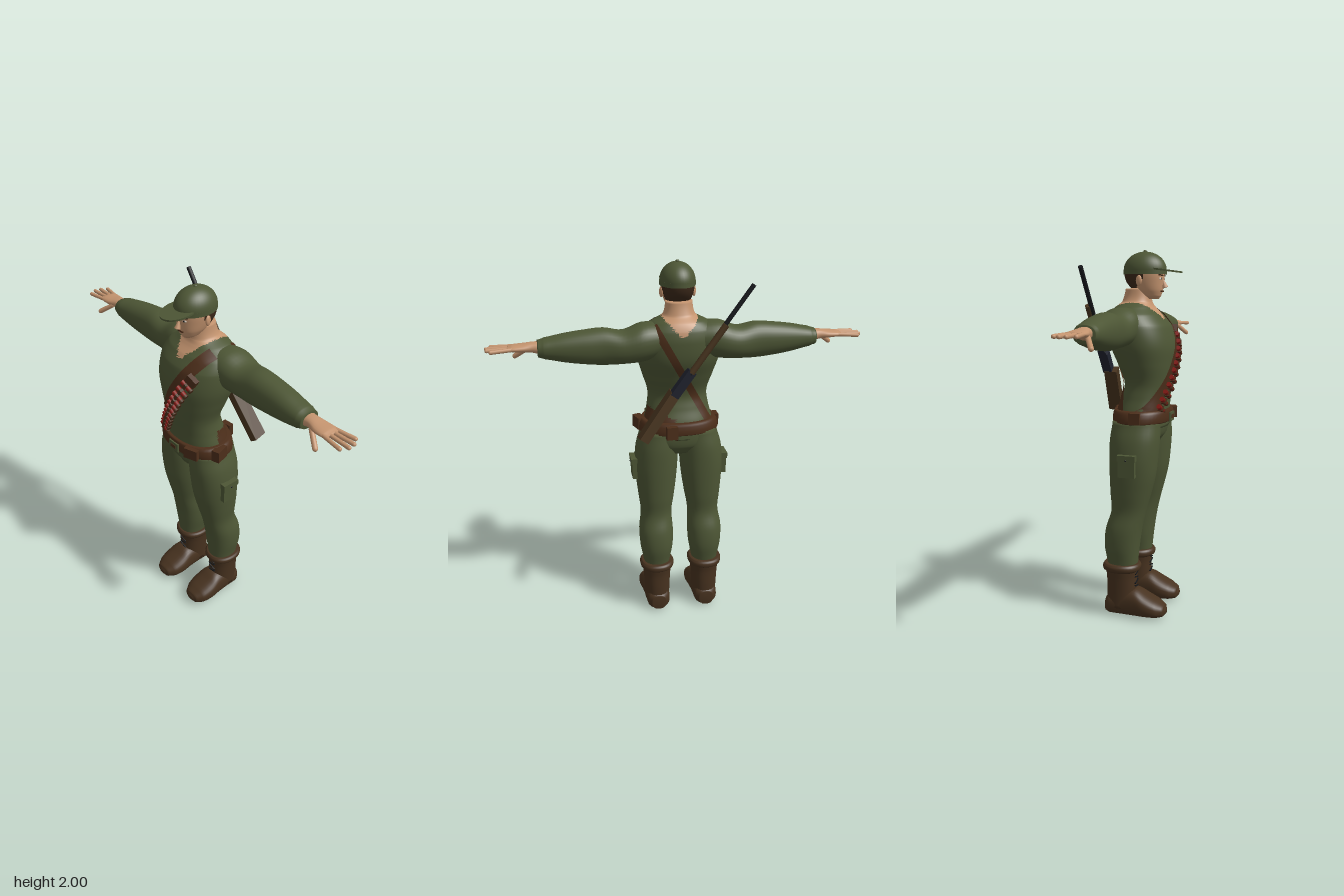
import * as THREE from 'three';

const mat = (name, color, side = THREE.FrontSide) => {
  const m = new THREE.MeshStandardMaterial({ color, side });
  m.name = name;
  return m;
};

// Catmull-Rom resampling of section rows [t, c1, c2, r1, r2]
function resample(rows, k) {
  const out = [];
  const at = i => rows[Math.min(Math.max(i, 0), rows.length - 1)];
  for (let i = 0; i < rows.length - 1; i++)
    for (let j = 0; j < k; j++) {
      const u = j / k, [a, b, c, d] = [at(i - 1), at(i), at(i + 1), at(i + 2)];
      out.push(b.map((v, q) => q === 0 ? v + (c[0] - v) * u : v + 0.5 * u * (c[q] - a[q] +
        u * (2 * a[q] - 5 * v + 4 * c[q] - d[q] + u * (3 * (v - c[q]) + d[q] - a[q])))));
    }
  out.push(rows[rows.length - 1]);
  return out;
}

// Closed skin through superellipse sections; pick() chooses a material per face
function loft(axis, rows, { k = 5, seg = 32, n = 2.2, pick = null } = {}) {
  const rs = resample(rows, k), pos = [], idx = [];
  const place = (t, p, q) => axis === 'y' ? [p, t, q] : axis === 'x' ? [t, p, q] : [p, q, t];
  const pw = v => Math.sign(v) * Math.abs(v) ** (2 / n);
  for (const [t, c1, c2, r1, r2] of rs)
    for (let i = 0; i < seg; i++) {
      const a = i / seg * Math.PI * 2;
      pos.push(...place(t, c1 + r1 * pw(Math.cos(a)), c2 + r2 * pw(Math.sin(a))));
    }
  const tri = (a, b, c) => idx.push(axis === 'y' ? [a, b, c] : [a, c, b]);
  for (let j = 0; j < rs.length - 1; j++)
    for (let i = 0; i < seg; i++) {
      const a = j * seg + i, b = j * seg + (i + 1) % seg;
      tri(a, a + seg, b);
      tri(b, a + seg, b + seg);
    }
  for (const j of [0, rs.length - 1]) {
    const c = pos.length / 3, [t, c1, c2] = rs[j];
    pos.push(...place(t, c1, c2));
    for (let i = 0; i < seg; i++) {
      const a = j * seg + i, b = j * seg + (i + 1) % seg;
      j === 0 ? tri(c, a, b) : tri(c, b, a);
    }
  }
  const g = new THREE.BufferGeometry();
  g.setAttribute('position', new THREE.Float32BufferAttribute(pos, 3));
  if (pick) {
    const bins = [[], [], []];
    for (const f of idx) bins[pick(...[0, 1, 2].map(q => f.reduce((s, v) => s + pos[v * 3 + q] / 3, 0)))].push(f);
    let start = 0;
    bins.forEach((b, i) => { g.addGroup(start, b.length * 3, i); start += b.length * 3; });
    g.setIndex(bins.flat(2));
  } else g.setIndex(idx.flat());
  g.computeVertexNormals();
  return g;
}

// Depth of a vertical loft's surface at (x, y); side +1 front, -1 back
function surfaceZ(rows, x, y, side = 1, n = 2.2) {
  const rs = resample(rows, 5);
  let i = rs.findIndex(r => r[0] > y);
  if (i < 1) i = i === 0 ? 1 : rs.length - 1;
  const u = Math.min(1, (y - rs[i - 1][0]) / (rs[i][0] - rs[i - 1][0]));
  const [, c, cz, w, d] = rs[i].map((v, q) => rs[i - 1][q] + (v - rs[i - 1][q]) * u);
  return cz + side * d * (1 - Math.min(1, Math.abs((x - c) / w)) ** n) ** (1 / n);
}

const TORSO = [[1.06, 0, .03, .2, .14], [1.15, 0, .038, .188, .137], [1.22, 0, .052, .17, .127],
  [1.3, 0, .065, .163, .125], [1.4, 0, .053, .192, .148], [1.5, 0, .035, .22, .17], [1.6, 0, .018, .222, .162],
  [1.66, 0, 0, .2, .135], [1.7, 0, -.01, .145, .105], [1.73, 0, 0, .085, .08], [1.8, 0, .005, .07, .066]];
const HEAD = [[1.745, 0, .085, .03, .035], [1.76, 0, .075, .05, .055], [1.79, 0, .06, .068, .08],
  [1.83, 0, .045, .08, .1], [1.87, 0, .04, .087, .108], [1.92, 0, .042, .086, .106], [1.96, 0, .045, .06, .08]];

export function createModel() {
  const green = mat('olive cloth', 0x4d5635), boot = mat('boot leather', 0x47321f);
  const leather = mat('belt leather', 0x4c2e1a, THREE.DoubleSide), skin = mat('skin', 0xc4946f);
  const red = mat('shell red', 0x861a14), black = mat('black steel', 0x17191c);
  const navy = mat('blued steel', 0x20232f), hair = mat('hair', 0x3b2819);
  const wood = mat('stock wood', 0x49351f), white = mat('eye white', 0xd8d0c4);
  const root = new THREE.Group();
  root.name = 'soldier';
  const add = (name, geo, m, parent = root, p = [0, 0, 0], r = [0, 0, 0], s = [1, 1, 1]) => {
    const o = new THREE.Mesh(geo, m);
    o.name = name;
    o.position.set(...p); o.rotation.set(...r); o.scale.set(...s);
    parent.add(o);
    return o;
  };
  const box = (x, y, z) => new THREE.BoxGeometry(x, y, z);
  const ball = new THREE.SphereGeometry(1, 20, 14);
  const finger = (name, a, b, r, parent) => {
    const A = new THREE.Vector3(...a), d = new THREE.Vector3(...b).sub(A);
    const o = add(name, new THREE.CapsuleGeometry(r, d.length(), 4, 10), skin, parent);
    o.position.copy(A).addScaledVector(d, .5);
    o.quaternion.setFromUnitVectors(new THREE.Vector3(0, 1, 0), d.normalize());
  };

  // Shirt with open neckline, and a worn leather patch over the left hip
  add('shirtAndNeck', loft('y', TORSO, { k: 8, seg: 64, pick: (x, y, z) =>
    y > 1.63 + Math.abs(x) ? 1 : x > .03 && z < .04 && y < 1.16 + x * .4 ? 2 : 0 }), [green, skin, leather]);
  add('pelvis', loft('y', [[.97, 0, .025, .1, .1], [1.02, 0, .025, .205, .13], [1.1, 0, .03, .212, .14], [1.14, 0, .035, .2, .137]]), green);

  // Head and face
  const head = new THREE.Group();
  head.name = 'head';
  root.add(head);
  add('face', loft('y', HEAD, { seg: 48, pick: (x, y, z) =>
    y > 1.8 && z < .02 || y > 1.845 && z < .06 ? 1 : 0 }), [skin, hair], head);
  add('nose', new THREE.ConeGeometry(.016, .055, 12), skin, head, [0, 1.83, .148], [-.3, 0, 0]);
  const fz = (x, y) => surfaceZ(HEAD, x, y);
  add('mouth', box(.042, .007, .008), leather, head, [0, 1.785, fz(0, 1.785)]);
  for (const s of [-1, 1]) {
    add('eye', ball, white, head, [s * .034, 1.85, fz(.034, 1.85) - .001], [0, s * .25, 0], [.013, .006, .004]);
    add('iris', ball, black, head, [s * .034, 1.85, fz(.034, 1.85) + .001], [0, s * .25, 0], [.005, .005, .004]);
    add('eyebrow', box(.036, .007, .008), hair, head, [s * .036, 1.868, fz(.036, 1.868)], [0, s * .3, s * .1]);
    add('ear', ball, skin, head, [s * .086, 1.84, .035], [0, s * .3, 0], [.01, .028, .018]);
  }

  // Cap
  const dome = new THREE.SphereGeometry(1, 36, 14, 0, Math.PI * 2, 0, Math.PI / 2);
  add('capDome', dome, green, head, [0, 1.895, .043], [0, 0, 0], [.093, .097, .117]);
  add('capBand', new THREE.CylinderGeometry(1, 1, .025, 36), green, head, [0, 1.886, .043], [0, 0, 0], [.094, 1, .118]);
  add('capButton', ball, green, head, [0, 1.993, .043], [0, 0, 0], [.01, .007, .01]);
  add('capBrim', new THREE.CylinderGeometry(1, 1, .009, 32), green, head, [0, 1.896, .145], [.13, 0, 0], [.079, 1, .102]);

  // Arm, hand, leg and boot for one side, then mirrored
  const limbs = new THREE.Group();
  limbs.name = 'leftLimbs';
  add('sleeve', loft('x', [[.08, 1.61, -.02, .085, .1], [.2, 1.6, -.035, .1, .108], [.3, 1.58, -.04, .087, .097],
    [.4, 1.585, -.033, .096, .085], [.5, 1.585, -.03, .088, .08], [.6, 1.585, -.025, .074, .075],
    [.7, 1.585, -.02, .054, .066], [.735, 1.585, -.02, .043, .056]]), green, limbs);
  add('palm', loft('x', [[.71, 1.587, -.018, .034, .042], [.76, 1.593, -.015, .027, .038], [.81, 1.592, -.012, .021, .048],
    [.86, 1.592, -.012, .016, .05], [.885, 1.592, -.012, .009, .042]], { seg: 20 }), skin, limbs);
  [[-.05, .965, -.068], [-.025, .986, -.034], [0, .99, .002], [.026, .97, .04]].forEach(([z, x, tz], i) =>
    finger('finger' + (i + 1), [.86, 1.592, z], [x, 1.588, tz], .0105, limbs));
  finger('thumb', [.785, 1.58, .018], [.853, 1.53, .06], .013, limbs);

  add('trouserLeg', loft('y', [[.24, .14, -.04, .07, .075], [.3, .14, -.04, .075, .084], [.4, .14, -.043, .092, .097],
    [.5, .14, -.032, .096, .1], [.6, .135, -.006, .087, .096], [.7, .132, .005, .1, .112], [.8, .13, .015, .112, .126],
    [.9, .128, .02, .119, .133], [1, .122, .025, .115, .136], [1.1, .11, .03, .1, .13]]), green, limbs);
  add('thighPocket', box(.03, .115, .092), green, limbs, [.251, .87, .02], [0, 0, -.03]);
  add('pocketFlap', box(.038, .032, .1), green, limbs, [.253, .917, .02], [0, 0, -.03]);
  add('pocketButton', ball, black, limbs, [.273, .906, .02], [0, 0, 0], [.003, .005, .005]);
  add('bootShaft', loft('y', [[.05, .14, -.045, .07, .082], [.14, .14, -.045, .073, .084], [.22, .14, -.045, .078, .084],
    [.275, .14, -.045, .084, .09]]), boot, limbs);
  add('bootCuff', loft('y', [[.258, .14, -.045, .082, .09], [.268, .14, -.045, .094, .104], [.29, .14, -.045, .097, .106],
    [.304, .14, -.045, .086, .096]], { k: 3 }), boot, limbs);
  add('bootFoot', loft('z', [[-.135, .14, .05, .04, .042], [-.11, .14, .06, .064, .057], [-.03, .14, .075, .071, .074],
    [.04, .14, .08, .079, .079], [.1, .14, .066, .086, .062], [.16, .14, .053, .077, .046],
    [.2, .14, .045, .05, .03], [.212, .14, .042, .02, .012]], { n: 2.5 }), boot, limbs);
  for (let i = 0; i < 5; i++)
    add('lace', box(.05, .006, .008), black, limbs, [.14, .145 + i * .026, i ? .04 : .046], [0, 0, i % 2 ? .25 : -.25]);
  root.add(limbs);
  const mirrored = limbs.clone();
  mirrored.name = 'rightLimbs';
  mirrored.scale.x = -1;
  root.add(mirrored);

  // Belt, buckle and pouches
  add('belt', loft('y', [[1.088, 0, .035, .214, .15], [1.094, 0, .035, .222, .158], [1.138, 0, .037, .215, .157],
    [1.158, 0, .038, .2, .15]], { k: 2, seg: 48 }), leather);
  add('buckle', box(.075, .05, .012), green, root, [0, 1.115, .195]);
  add('buckleBar', box(.04, .02, .016), leather, root, [0, 1.115, .196]);
  add('sidePouch', box(.045, .066, .08), leather, root, [.213, 1.122, .06], [0, .3, 0]);
  add('frontPouch', box(.08, .06, .025), leather, root, [.125, 1.125, .178], [0, .35, 0]);
  add('backPouch', box(.06, .07, .03), leather, root, [.06, 1.115, -.128], [0, .1, 0]);
  add('hipPouch', box(.03, .06, .06), leather, root, [-.212, 1.122, .05]);

  // Shoulder strap laid over the chest and the back
  const dir = new THREE.Vector2(.3, .54).normalize();
  const strap = (side, w) => {
    const g = new THREE.PlaneGeometry(1, 1, 6, 40), p = g.attributes.position;
    for (let i = 0; i < p.count; i++) {
      const u = p.getY(i) + .5, v = p.getX(i) * w;
      const x = -.165 + .31 * u + dir.y * v, y = 1.13 + .56 * u - dir.x * v;
      p.setXYZ(i, x, y, surfaceZ(TORSO, x, y, side) + side * .007);
    }
    g.computeVertexNormals();
    return g;
  };
  add('chestStrap', strap(1, .068), leather);
  add('backStrap', strap(-1, .04), leather);

  // Row of shells in loops on the strap
  const tilt = Math.atan2(dir.y, dir.x) - Math.PI / 2;
  for (let i = 0; i < 11; i++) {
    const u = i / 10, x = -.115 + .225 * u, y = 1.17 + .375 * u;
    const shell = new THREE.Group();
    shell.name = 'shell' + (i + 1);
    shell.position.set(x, y, surfaceZ(TORSO, x, y) + .015);
    shell.rotation.set(0, x * 1.2, tilt);
    add('casing', new THREE.CylinderGeometry(.013, .013, .062, 10), red, shell, [0, 0, 0], [0, 0, Math.PI / 2]);
    add('loop', box(.016, .031, .03), leather, shell);
    add('cap', new THREE.CylinderGeometry(.014, .014, .012, 10), leather, shell, [.035, 0, 0], [0, 0, Math.PI / 2]);
    root.add(shell);
  }
  add('strapPouch', box(.06, .045, .03), leather, root, [.13, 1.575, surfaceZ(TORSO, .13, 1.575) + .012], [0, .2, tilt]);

  // Rifle slung across the back
  const rifle = new THREE.Group();
  rifle.name = 'rifle';
  rifle.position.set(-.345, 1.905, -.19);
  rifle.rotation.z = .629;
  const slab = (pts, depth) => new THREE.ExtrudeGeometry(new THREE.Shape(pts.map(q => new THREE.Vector2(...q))),
    { depth, bevelEnabled: false }).translate(0, 0, -depth / 2).rotateY(-Math.PI / 2);
  add('barrel', new THREE.CylinderGeometry(.012, .012, .56, 12), black, rifle, [0, -.28, 0]);
  add('magazineTube', new THREE.CylinderGeometry(.01, .01, .3, 12), black, rifle, [0, -.4, -.016]);
  add('foreEnd', new THREE.CylinderGeometry(.017, .017, .3, 14), wood, rifle, [0, -.39, -.016]);
  add('receiver', slab([[.026, -.69], [.026, -.56], [.012, -.53], [-.025, -.53], [-.025, -.69]], .045), navy, rifle);
  add('stock', slab([[.055, -.68], [.025, -.985], [-.05, -.97], [-.018, -.68]], .05), wood, rifle);
  root.add(rifle);
  return root;
}
